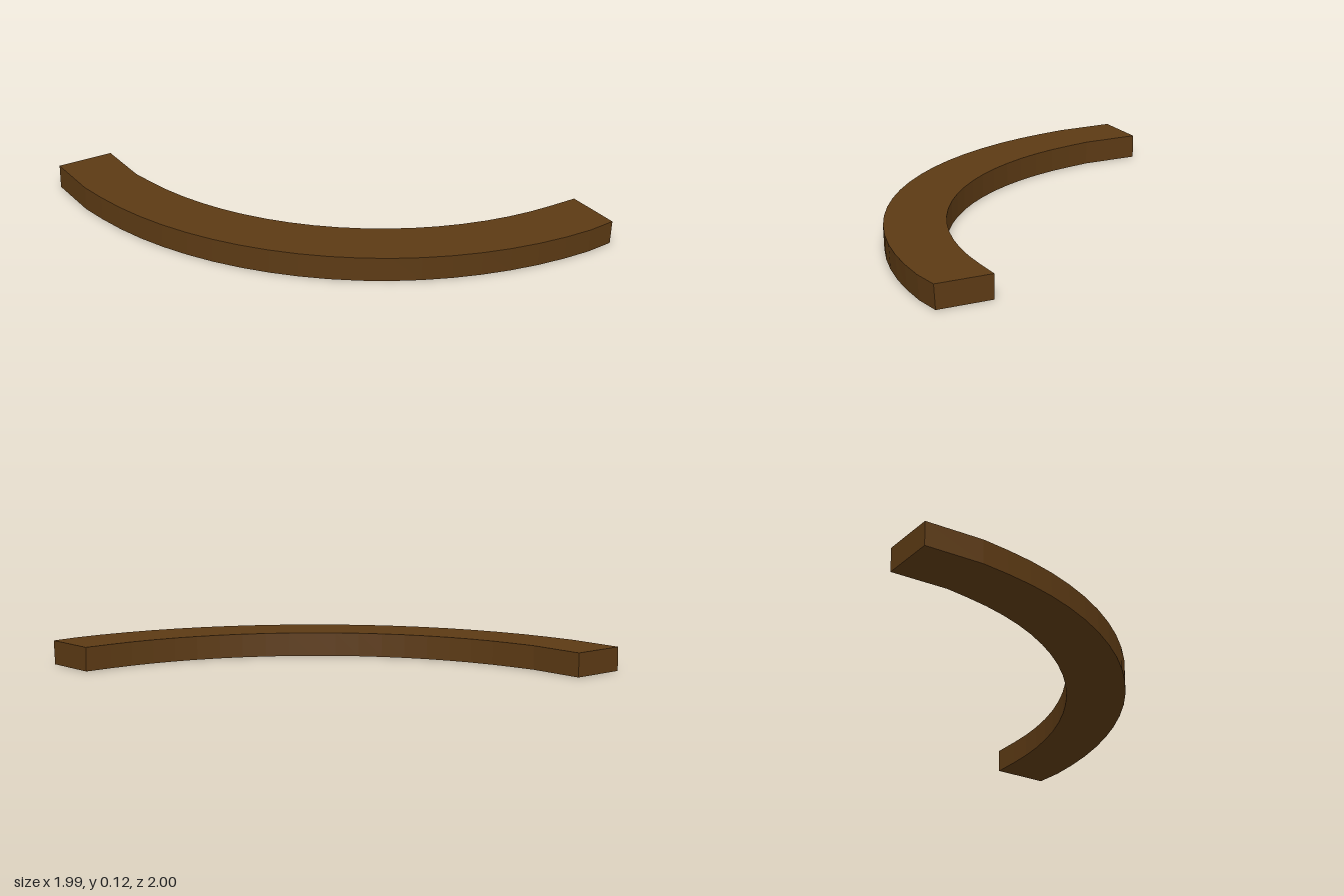
import * as THREE from 'three';

const HEIGHT = 0.12;
const SEGMENTS = 19;

// Points along a faceted arc in plan, running from the back end to the side end.
function arcPoints(cx, cz, radius, startDeg, endDeg) {
  const points = [];
  for (let i = 0; i <= SEGMENTS; i++) {
    const a = THREE.MathUtils.degToRad(startDeg + (endDeg - startDeg) * i / SEGMENTS);
    points.push(new THREE.Vector2(cx - radius * Math.cos(a), -(cz + radius * Math.sin(a))));
  }
  return points;
}

export function createModel() {
  const group = new THREE.Group();
  group.name = 'curvedRail';

  // Plan outline: outer edge, end face, inner edge, back face
  const outer = arcPoints(0.85, -0.845, 1.845, 4.5, 90);
  const inner = arcPoints(0.843, -0.853, 1.55, 5.5, 90);
  outer[0].x = -0.993;
  inner[0].x = -0.705;
  const outline = [
    new THREE.Vector2(-0.993, 1),
    ...outer,
    new THREE.Vector2(0.993, -0.987),
    new THREE.Vector2(0.993, -0.697),
    ...inner.reverse(),
    new THREE.Vector2(-0.705, 1),
  ];

  const geometry = new THREE.ExtrudeGeometry(new THREE.Shape(outline), {
    depth: HEIGHT,
    bevelEnabled: false,
  });
  geometry.rotateX(-Math.PI / 2);

  // Slight undercut of the outer face towards the front
  const pos = geometry.attributes.position;
  for (let i = 0; i < pos.count; i++) {
    if (pos.getY(i) < HEIGHT / 2) {
      const t = THREE.MathUtils.clamp((pos.getZ(i) - 0.7) / 0.3, 0, 1);
      pos.setZ(i, pos.getZ(i) - 0.008 * t);
    }
  }
  geometry.computeVertexNormals();

  const rail = new THREE.Mesh(
    geometry,
    new THREE.MeshStandardMaterial({ color: 0x5c3a14, flatShading: true })
  );
  rail.name = 'rail';
  group.add(rail);
  return group;
}
